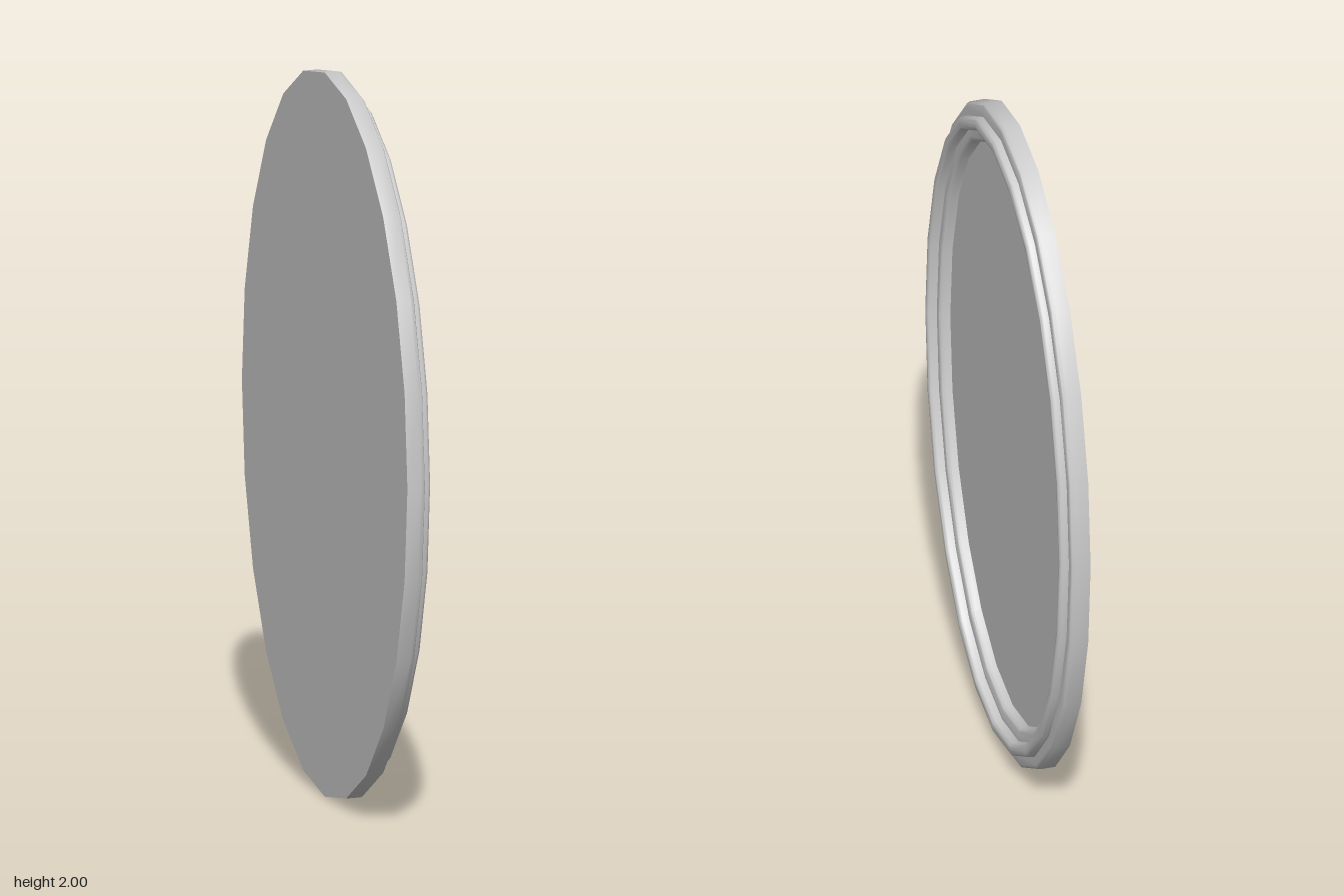
import * as THREE from 'three';
import { toCreasedNormals } from 'three/addons/utils/BufferGeometryUtils.js';

const SEGMENTS = 24;
const HALF_DEPTH = 0.67;
const BACK = -0.04;
const PANEL = -0.02;

// Turn a lathe on the y axis into an upright oval facing +x
function ovalLathe(points, name, material) {
  let geometry = new THREE.LatheGeometry(points, SEGMENTS);
  geometry.rotateZ(-Math.PI / 2);
  geometry.scale(1, 1, HALF_DEPTH);
  geometry = toCreasedNormals(geometry, 0.75);
  const mesh = new THREE.Mesh(geometry, material);
  mesh.name = name;
  mesh.position.y = 1;
  return mesh;
}

// Quarter-round arc in the profile, from angle a to angle b (degrees)
function arc(cx, cy, rx, ry, a, b, steps = 4) {
  const points = [];
  for (let i = 0; i <= steps; i++) {
    const t = THREE.MathUtils.degToRad(a + ((b - a) * i) / steps);
    points.push(new THREE.Vector2(cx + rx * Math.cos(t), cy + ry * Math.sin(t)));
  }
  return points;
}

export function createModel() {
  const group = new THREE.Group();
  group.name = 'ovalMirror';
  const material = new THREE.MeshStandardMaterial({ color: 0xcccccc });
  const v = (x, y) => new THREE.Vector2(x, y);

  // Moulded frame: outer step, raised bead, inner step
  const frame = [
    v(1, BACK),
    ...arc(0.985, 0, 0.015, 0.013, 0, 90),
    v(0.96, 0.013),
    ...arc(0.946, 0.023, 0.014, 0.014, 0, 90),
    ...arc(0.934, 0.023, 0.014, 0.014, 90, 180),
    v(0.92, 0.01),
    ...arc(0.9, -0.004, 0.02, 0.014, 90, 180),
    v(0.88, PANEL),
  ];
  group.add(ovalLathe(frame, 'frame', material));

  // Recessed mirror face
  group.add(ovalLathe([v(0.88, PANEL), v(0, PANEL)], 'mirrorPanel', material));

  // Flat back
  group.add(ovalLathe([v(0, BACK), v(1, BACK)], 'backBoard', material));

  return group;
}
